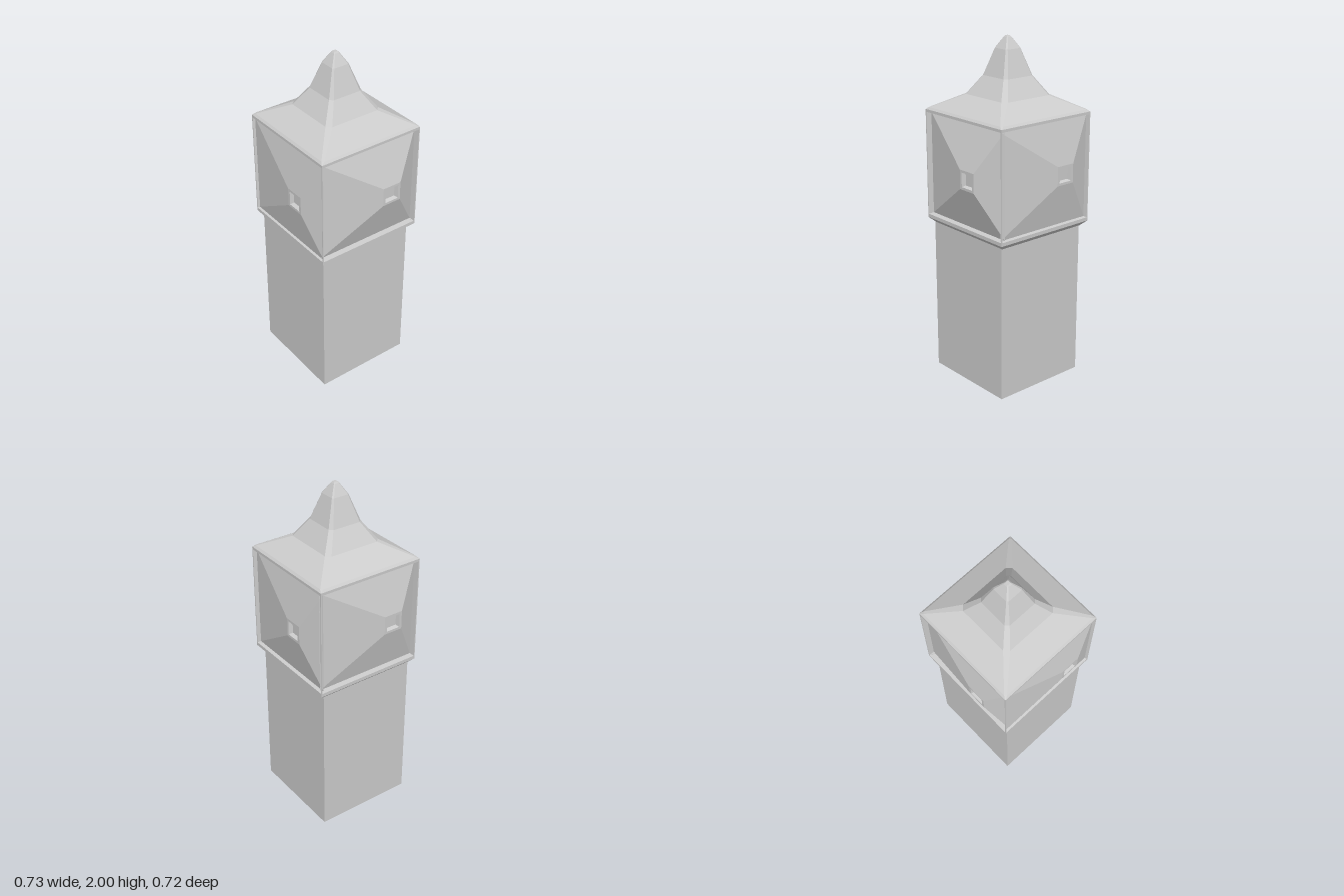
import * as THREE from 'three';

const material = new THREE.MeshStandardMaterial({ color: 0xcccccc, flatShading: true });

// Rectangle ring, counter-clockwise seen from +z, with optional cut corners
function ring(cx, cy, hx, hy, z, cut = 0) {
  const corners = [[-1, -1], [1, -1], [1, 1], [-1, 1]];
  return corners.flatMap(([sx, sy], i) => {
    const onX = [cx + sx * (hx - cut), cy + sy * hy, z];
    const onY = [cx + sx * hx, cy + sy * (hy - cut), z];
    if (cut === 0) return [onX];
    return i % 2 ? [onX, onY] : [onY, onX];
  });
}

// Skin between successive rings, optionally closed over the last one
function loft(name, rings, capped) {
  const pos = [];
  const tri = (a, b, c) => pos.push(...a, ...b, ...c);
  for (let r = 0; r < rings.length - 1; r++) {
    const a = rings[r], b = rings[r + 1], n = a.length;
    for (let j = 0; j < n; j++) {
      const k = (j + 1) % n;
      tri(a[j], a[k], b[k]);
      tri(a[j], b[k], b[j]);
    }
  }
  if (capped) {
    const last = rings[rings.length - 1];
    for (let j = 1; j < last.length - 1; j++) tri(last[0], last[j], last[j + 1]);
  }
  const geometry = new THREE.BufferGeometry();
  geometry.setAttribute('position', new THREE.Float32BufferAttribute(pos, 3));
  geometry.computeVertexNormals();
  const mesh = new THREE.Mesh(geometry, material);
  mesh.name = name;
  return mesh;
}

// Loft that climbs along y from [height, half width, corner cut] rows
function tower(name, rows, capped) {
  const mesh = loft(name, rows.map(([y, h, cut]) => ring(0, 0, h, h, y, cut)), capped);
  mesh.geometry.rotateX(-Math.PI / 2);
  return mesh;
}

// Framed wall: recessed off-centre pyramid with a square socket at its tip
function wallPanel(offset, recess, bulge) {
  const wall = 0.325, tileY = 1.268, tip = wall + bulge;
  return loft('wallPanel', [
    ring(0, 1.265, 0.325, 0.32, wall),
    ring(0, 1.2675, 0.319, 0.302, wall),
    ring(0, 1.2675, 0.314, 0.298, wall - recess),
    ring(offset, tileY, 0.058, 0.055, tip),
    ring(offset, tileY, 0.043, 0.041, tip),
    ring(offset, tileY, 0.035, 0.034, tip - 0.022),
  ], true);
}

export function createModel() {
  const model = new THREE.Group();
  model.name = 'tower';

  // Plain square shaft
  const shaft = new THREE.Mesh(new THREE.BoxGeometry(0.588, 0.92, 0.59), material);
  shaft.name = 'shaft';
  shaft.position.set(-0.011, 0.46, 0.004);
  model.add(shaft);

  const head = new THREE.Group();
  head.name = 'head';
  head.position.set(-0.012, 0, -0.002);
  model.add(head);

  // Sloped underside of the overhanging head
  head.add(tower('skirt', [[0.915, 0.294, 0], [0.945, 0.325, 0]], false));

  // Four walls: [tip offset, recess depth, bulge], turning from front to left
  const walls = [[0.12, 0.013, 0.036], [0.1, 0.032, 0.052], [0.11, 0.021, 0.032], [0.13, 0.031, 0.032]];
  walls.forEach((w, i) => {
    const panel = wallPanel(...w);
    panel.rotation.y = i * Math.PI / 2;
    head.add(panel);
  });

  // Flared roof with bevelled hips
  head.add(tower('roof', [
    [1.585, 0.325, 0.003], [1.597, 0.314, 0.01], [1.677, 0.174, 0.025],
    [1.783, 0.104, 0.018], [1.932, 0.053, 0.008], [1.992, 0.017, 0.004], [2, 0.01, 0.002],
  ], true));

  return model;
}
